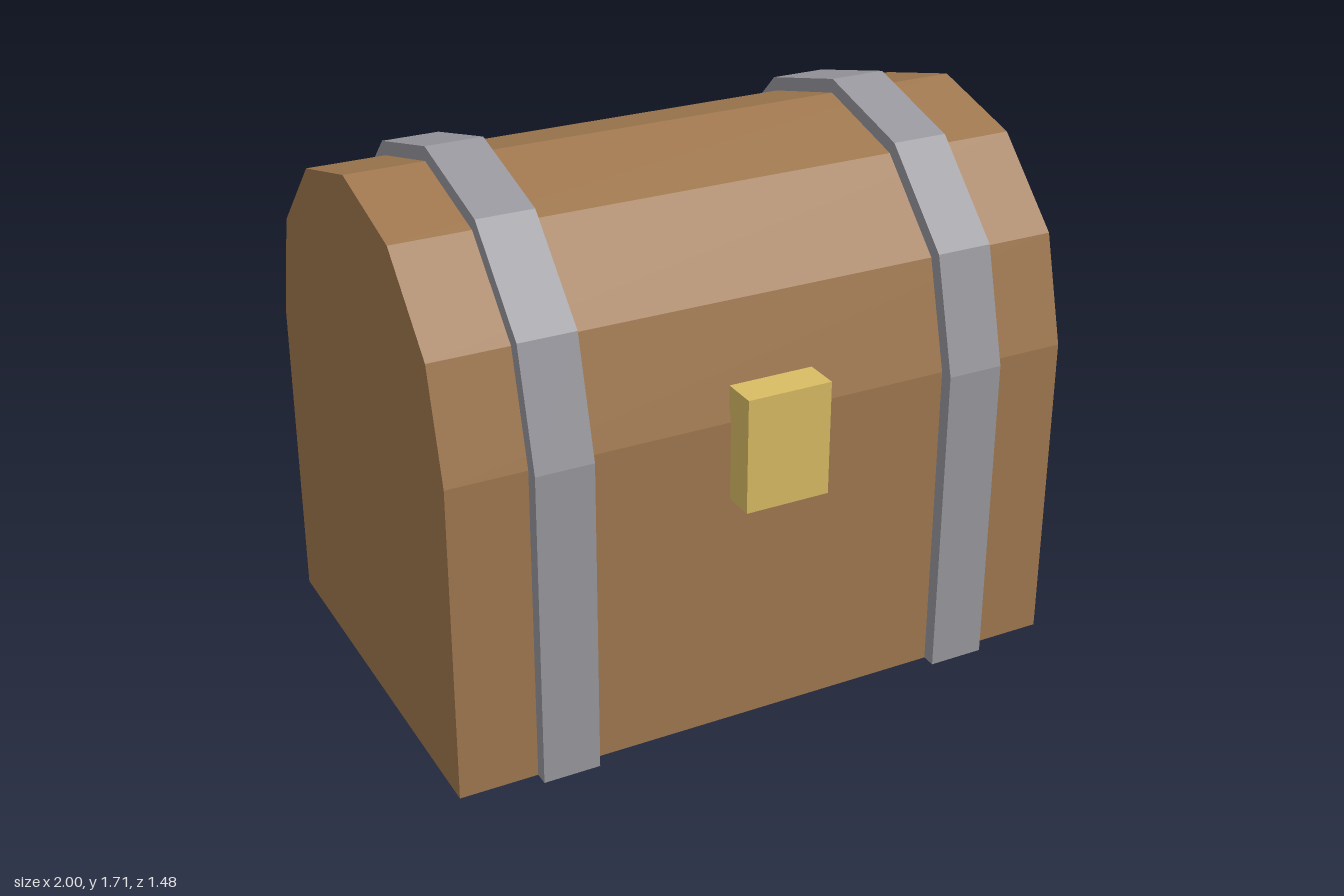
import * as THREE from 'three';

const CENTRE_Z = -0.028;
const WALL = 1.0; // height where the arched lid begins
const R = 0.667; // half depth of the chest
const BAND_R = 0.711;

const material = (color) => new THREE.MeshStandardMaterial({ color, flatShading: true });

// Arch points from one foot over the six-sided lid to the other foot
function archPoints(r) {
  const pts = [new THREE.Vector2(r, 0)];
  for (let i = 0; i <= 6; i++) {
    const a = (i * Math.PI) / 6;
    pts.push(new THREE.Vector2(r * Math.cos(a), WALL + r * Math.sin(a)));
  }
  pts.push(new THREE.Vector2(-r, 0));
  return pts;
}

// Extrude a side profile along x, centred on the given x
function extrudeAlongX(points, width, x, mat, name) {
  const geo = new THREE.ExtrudeGeometry(new THREE.Shape(points), { depth: width, bevelEnabled: false });
  geo.translate(0, 0, -width / 2);
  geo.rotateY(Math.PI / 2);
  geo.translate(x, 0, CENTRE_Z);
  const mesh = new THREE.Mesh(geo, mat);
  mesh.name = name;
  return mesh;
}

export function createModel() {
  const group = new THREE.Group();
  group.name = 'chest';
  const wood = material(0xa0784f);
  const metal = material(0x98989e);
  const brass = material(0xd9bc64);

  // Wooden body with arched lid
  group.add(extrudeAlongX(archPoints(R), 2, 0, wood, 'body'));

  // Metal straps wrapped over the body
  const strap = [...archPoints(BAND_R), ...archPoints(R).reverse()];
  for (const side of [1, -1]) {
    group.add(extrudeAlongX(strap, 0.178, side * 0.667, metal, side > 0 ? 'leftStrap' : 'rightStrap'));
  }

  // Lock plate on the front
  const lock = new THREE.Mesh(new THREE.BoxGeometry(0.267, 0.356, 0.111), brass);
  lock.position.set(0, 0.933, 0.683);
  lock.name = 'lock';
  group.add(lock);

  return group;
}
